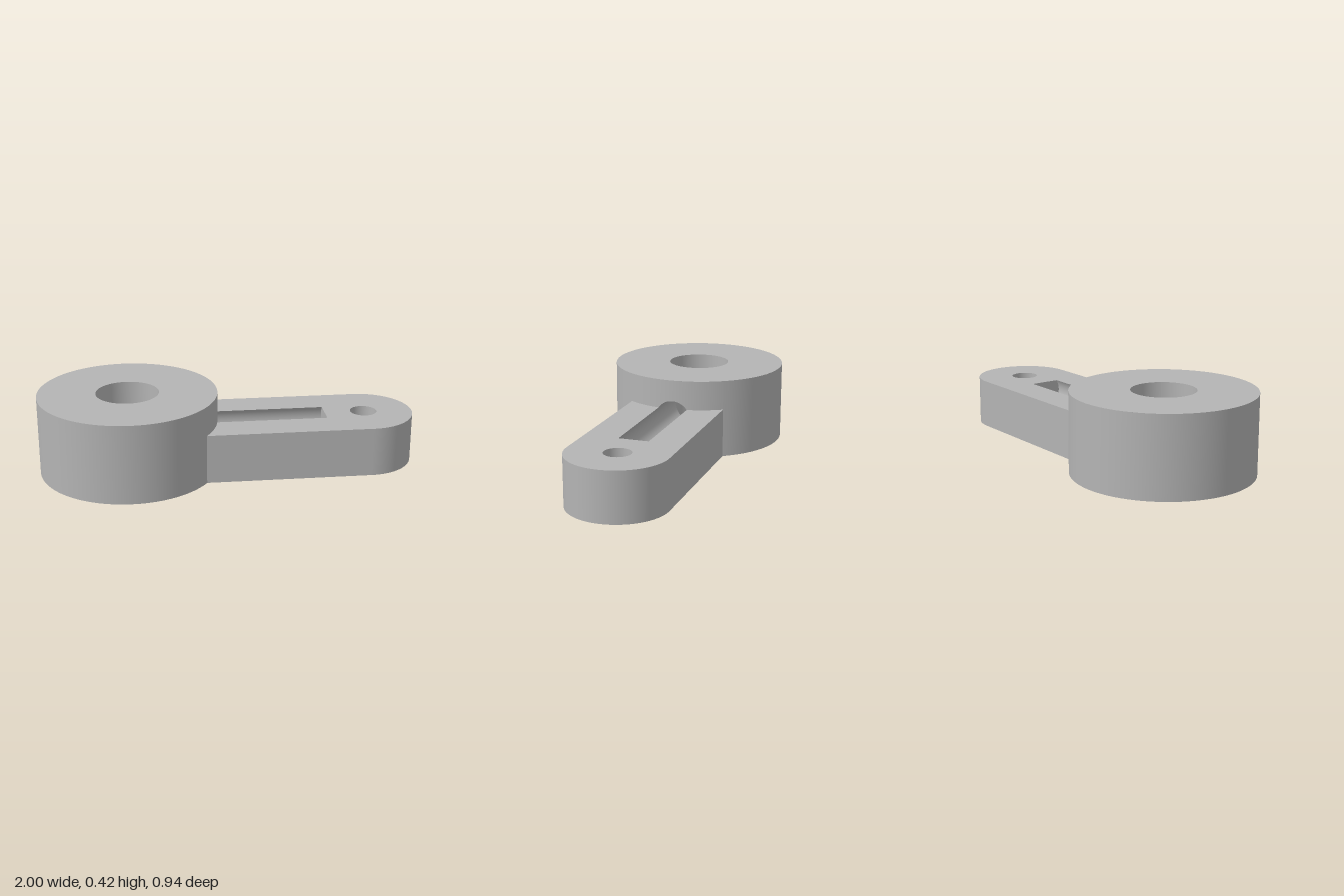
import * as THREE from 'three';

const H = 0.421, ARM_H = 0.263;            // boss and arm heights
const BX = -0.528, BR = 0.472, BORE = 0.166; // boss centre, radius, bore
const EX = 0.738, ER = 0.262, PIN = 0.071;   // arm end centre, radius, pin hole
const GY = 0.2105, GR = 0.0955, GEND = 0.526; // cross drilling height, radius, end
const GZ = Math.sqrt(GR ** 2 - (ARM_H - GY) ** 2); // half width of the open slot
const ARM_A = Math.asin(ER / BR), SLOT_A = Math.asin(GZ / BR);
const half = (r, d) => Math.sqrt(Math.max(0, r * r - d * d));

// Surface ruled between two curves; f(t) returns [start point, end point]
function ruled(from, to, n, f) {
  const pos = [], index = [];
  for (let i = 0; i <= n; i++) {
    const [a, b] = f(from + (to - from) * i / n);
    pos.push(...a, ...b);
    if (i < n) index.push(2 * i, 2 * i + 2, 2 * i + 3, 2 * i, 2 * i + 3, 2 * i + 1);
  }
  const g = new THREE.BufferGeometry();
  g.setAttribute('position', new THREE.Float32BufferAttribute(pos, 3));
  g.setIndex(index);
  g.computeVertexNormals();
  return g;
}

// Upright round wall; falling angles face outward, rising angles face inward
function wall(cx, r, from, to, low, high) {
  const n = Math.max(24, Math.round(Math.abs(to - from) * 20));
  return ruled(from, to, n, a => {
    const x = cx + r * Math.cos(a), z = r * Math.sin(a);
    return [[x, low(z), z], [x, high(z), z]];
  });
}

const circle = (x, r) => new THREE.Path().absarc(x, 0, r, 0, Math.PI * 2, true);

// Flat horizontal face at height y, facing up or down
function face(shape, y, up) {
  return new THREE.ShapeGeometry(shape, 64).rotateX(up ? -Math.PI / 2 : Math.PI / 2).translate(0, y, 0);
}

export function createModel() {
  const model = new THREE.Group();
  const metal = new THREE.MeshStandardMaterial({ color: 0xb4b4b4 });
  metal.name = 'grey metal';
  const add = (name, ...geometries) => {
    const group = new THREE.Group();
    group.name = name;
    for (const g of geometries) {
      const mesh = new THREE.Mesh(g, metal);
      mesh.name = name;
      group.add(mesh);
    }
    model.add(group);
  };
  const zero = () => 0, bossTop = () => H, armTop = () => ARM_H;
  const drillTop = z => GY + half(GR, z), drillBottom = z => GY - half(GR, z);

  // Boss: annular top and outer wall, cut away where the arm and drilling meet it
  const ring = new THREE.Shape().absarc(BX, 0, BR, 0, Math.PI * 2, false);
  ring.holes.push(circle(BX, BORE));
  const overArm = z => Math.abs(z) < GZ ? drillTop(z) : ARM_H;
  add('boss',
    face(ring, H, true),
    wall(BX, BR, Math.PI * 2 - ARM_A, ARM_A, zero, bossTop),
    wall(BX, BR, ARM_A, SLOT_A, armTop, bossTop),
    wall(BX, BR, SLOT_A, -SLOT_A, overArm, bossTop),
    wall(BX, BR, -SLOT_A, -ARM_A, armTop, bossTop));

  // Bore wall with the round opening of the cross drilling
  const w = Math.asin(GR / BORE);
  add('bore',
    wall(BX, BORE, w, Math.PI * 2 - w, zero, bossTop),
    wall(BX, BORE, -w, w, zero, drillBottom),
    wall(BX, BORE, -w, w, drillTop, bossTop));

  // Arm: slotted top, two straight sides and the rounded end
  const top = new THREE.Shape();
  top.absarc(EX, 0, ER, -Math.PI / 2, Math.PI / 2, false);
  top.absarc(BX, 0, BR, ARM_A, SLOT_A, true);
  top.lineTo(GEND, GZ);
  top.lineTo(GEND, -GZ);
  top.absarc(BX, 0, BR, -SLOT_A, -ARM_A, true);
  top.closePath();
  top.holes.push(circle(EX, PIN));
  const rootX = BX + BR * Math.cos(ARM_A);
  const side = (x0, x1, z) => ruled(x0, x1, 1, x => [[x, 0, z], [x, ARM_H, z]]);
  add('arm',
    face(top, ARM_H, true),
    side(rootX, EX, ER),
    side(EX, rootX, -ER),
    wall(EX, ER, Math.PI / 2, -Math.PI / 2, zero, armTop));
  add('pinHole', wall(EX, PIN, 0, Math.PI * 2, zero, armTop));

  // Cross drilling from the bore, breaking out as a groove along the arm
  const p = Math.acos((ARM_H - GY) / GR);
  const drill = (from, to, end) => ruled(from, to, 48, a => {
    const y = GY + GR * Math.cos(a), z = GR * Math.sin(a);
    return [[BX + half(BORE, z), y, z], [end(z), y, z]];
  });
  const a = Math.PI / 2 - p;
  const stop = new THREE.Shape().absarc(0, GY, GR, a, Math.PI - a, true);
  add('groove',
    drill(p, -p, z => BX + half(BR, z)),
    drill(Math.PI * 2 - p, p, () => GEND),
    new THREE.ShapeGeometry(stop, 48).rotateY(-Math.PI / 2).translate(GEND, 0, 0));

  // Shared flat underside
  const base = new THREE.Shape();
  base.absarc(BX, 0, BR, ARM_A, Math.PI * 2 - ARM_A, false);
  base.absarc(EX, 0, ER, -Math.PI / 2, Math.PI / 2, false);
  base.closePath();
  base.holes.push(circle(BX, BORE), circle(EX, PIN));
  add('underside', face(base, 0, false));

  return model;
}
